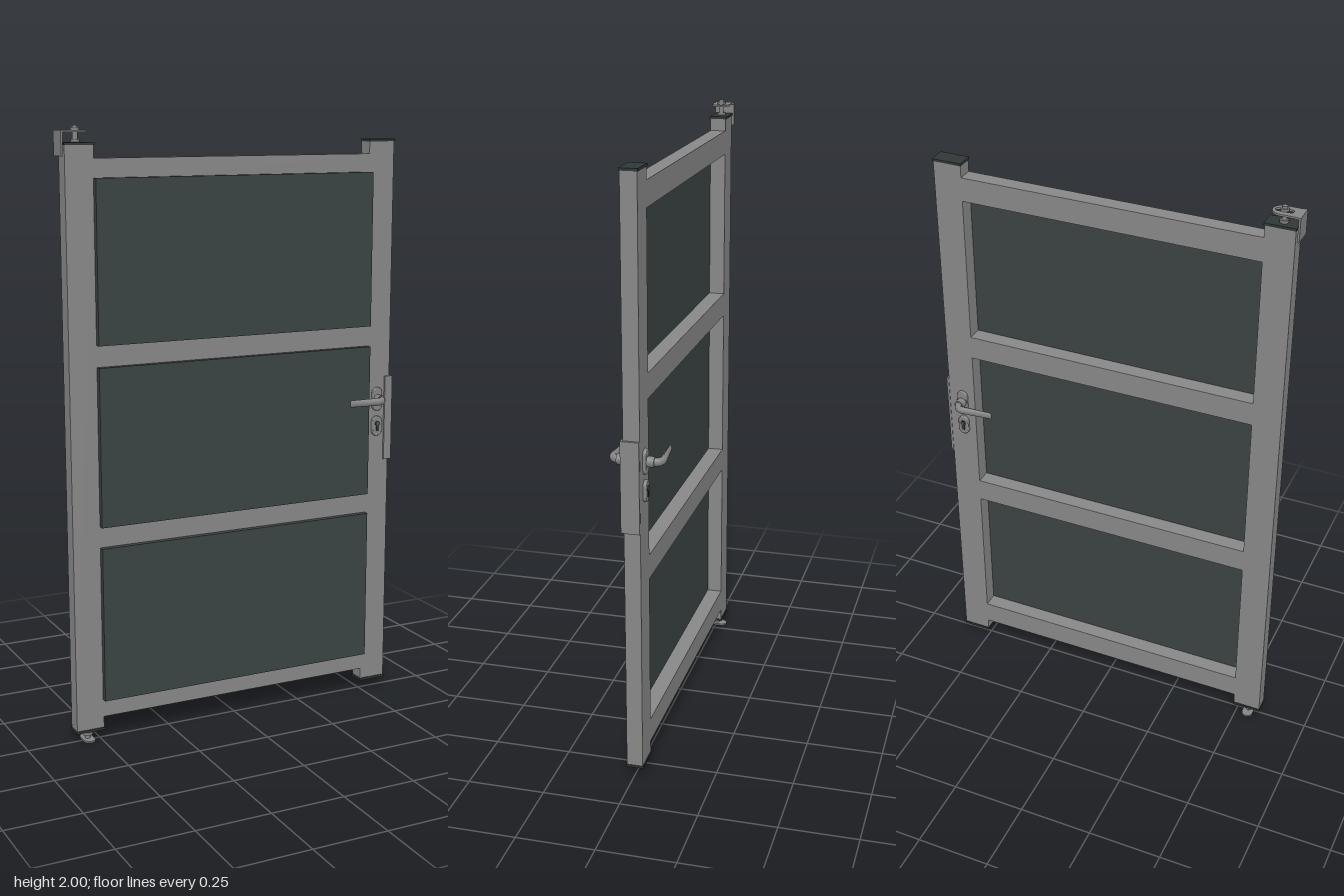
import * as THREE from 'three';

const mat = (name, color, extra = {}) => {
  const m = new THREE.MeshStandardMaterial({ color, ...extra });
  m.name = name;
  return m;
};

export function createModel() {
  const gate = new THREE.Group();
  gate.name = 'gate';
  const frameGrey = mat('frameGrey', 0x888888);
  const panelDark = mat('panelDark', 0x3b4343);
  const capDark = mat('capDark', 0x303636);
  const metal = mat('metal', 0x858585);
  const ZC = -0.003; // centre plane of the frame
  const D = 0.052; // frame depth

  const add = (name, geo, material, x = 0, y = 0, z = 0) => {
    const m = new THREE.Mesh(geo, material);
    m.name = name;
    m.position.set(x, y, z);
    gate.add(m);
    return m;
  };
  // box given by its limits
  const box = (name, material, x0, x1, y0, y1, z0, z1) =>
    add(name, new THREE.BoxGeometry(x1 - x0, y1 - y0, z1 - z0), material,
      (x0 + x1) / 2, (y0 + y1) / 2, (z0 + z1) / 2);
  const rod = (name, material, r, x, y0, y1, sides = 20) =>
    add(name, new THREE.CylinderGeometry(r, r, y1 - y0, sides), material, x, (y0 + y1) / 2, ZC);

  // upright slot outline, w wide and h high
  const slot = (w, h, Kind = THREE.Shape, cx = 0, cy = 0) => {
    const s = new Kind(), r = w / 2, d = h / 2 - r;
    s.absarc(cx, cy + d, r, 0, Math.PI);
    s.absarc(cx, cy - d, r, Math.PI, Math.PI * 2);
    s.closePath();
    return s;
  };
  const extrude = (shape, depth, bevel = 0) => new THREE.ExtrudeGeometry(shape, {
    depth: depth - bevel, curveSegments: 12, bevelEnabled: bevel > 0,
    bevelSize: bevel, bevelOffset: -bevel, bevelThickness: bevel, bevelSegments: 3,
  });

  // posts with end caps
  const zb = ZC - D / 2, zf = ZC + D / 2;
  for (const [side, x0, x1] of [['right', -0.587, -0.492], ['left', 0.495, 0.59]]) {
    box(side + 'Post', frameGrey, x0, x1, 0.042, 1.94, zb, zf);
    for (const [end, y] of [['Bottom', 0.035], ['Top', 1.94]])
      box(side + end + 'Cap', capDark, x0 - 0.002, x1 + 0.002, y, y + 0.008, zb - 0.003, zf + 0.003);
  }

  // horizontal rails
  for (const y of [0.08, 0.655, 1.245, 1.82])
    box('rail', frameGrey, -0.492, 0.495, y, y + 0.08, zb, zf);

  // infill panels on the front of the frame
  for (const y of [0.14, 0.73, 1.32])
    box('panel', panelDark, -0.494, 0.5, y, y + 0.52, zf, 0.043);

  // angled stop on the lock edge
  box('stopSide', frameGrey, 0.591, 0.599, 0.845, 1.14, zb, 0.03);
  box('stopFront', frameGrey, 0.57, 0.599, 0.845, 1.14, zf, 0.03);

  // lever handles and lock plates on both faces
  const HX = 0.54, HY = 1.062;
  for (const s of [1, -1]) {
    const side = s > 0 ? 'front' : 'back';
    const face = ZC + s * D / 2;
    const plate = (name, geo, y, material = metal) => {
      const m = add(side + name, geo, material, HX, y, face);
      if (s < 0) m.rotation.y = Math.PI;
      return m;
    };
    plate('Rose', extrude(slot(0.038, 0.082), 0.01, 0.003), HY);
    plate('LockPlate', extrude(slot(0.038, 0.07), 0.01, 0.003), 0.967);
    // lock cylinder set in the plate
    const key = new THREE.Shape();
    key.absarc(0, 0.009, 0.0095, -0.95, Math.PI + 0.95);
    key.lineTo(-0.0055, -0.017);
    key.lineTo(0.0055, -0.017);
    key.closePath();
    plate('LockCylinder', extrude(key, 0.013), 0.967, capDark);
    plate('KeySlot', extrude(slot(0.003, 0.011, THREE.Shape, 0, 0.009), 0.014), 0.967, metal);

    // neck collar
    const collar = add(side + 'Collar', new THREE.CylinderGeometry(0.017, 0.017, 0.03, 24), metal, HX, HY, face + s * 0.018);
    collar.rotation.x = Math.PI / 2;

    // tapered lever
    const P = (x, z) => new THREE.Vector3(x, 0, s * z);
    const path = new THREE.CurvePath();
    path.add(new THREE.LineCurve3(P(0, 0.03), P(0, 0.053)));
    path.add(new THREE.QuadraticBezierCurve3(P(0, 0.053), P(0, 0.079), P(-0.03, 0.078)));
    path.add(new THREE.LineCurve3(P(-0.03, 0.078), P(-0.127, 0.072)));
    const N = 32, R = 14;
    const geo = new THREE.TubeGeometry(path, N, 0.014, R);
    const pos = geo.attributes.position, c = new THREE.Vector3(), v = new THREE.Vector3();
    for (let i = 0; i <= N; i++) {
      path.getPointAt(i / N, c);
      const t = i / N, flat = t > 0.3 ? 1 - 0.6 * (t - 0.3) / 0.7 : 1;
      for (let j = 0; j <= R; j++) {
        const k = i * (R + 1) + j;
        v.fromBufferAttribute(pos, k).sub(c);
        v.y *= 1 - 0.15 * t;
        v.x *= flat * 0.85;
        v.z *= flat * 0.85;
        v.add(c);
        pos.setXYZ(k, v.x, v.y, v.z);
      }
    }
    geo.computeVertexNormals();
    add(side + 'Lever', geo, metal, HX, HY, ZC);
    const tip = add(side + 'LeverTip', new THREE.SphereGeometry(1, 14, 10), metal, HX - 0.127, HY, ZC + s * 0.072);
    tip.scale.set(0.005, 0.0119, 0.0048);
  }

  // upper hinge: slotted bracket, pin and nuts
  const PX = -0.542;
  box('hingeWallPlate', metal, -0.6, -0.594, 1.907, 1.985, ZC - 0.033, ZC + 0.033);
  const arm = new THREE.Shape();
  arm.moveTo(-0.6, -0.033);
  arm.lineTo(-0.58, -0.03);
  arm.lineTo(-0.535, -0.03);
  arm.absarc(-0.535, 0, 0.03, -Math.PI / 2, Math.PI / 2);
  arm.lineTo(-0.58, 0.03);
  arm.lineTo(-0.6, 0.033);
  arm.closePath();
  const hole = new THREE.Path();
  hole.absarc(-0.523, 0, 0.01, -Math.PI / 2, Math.PI / 2);
  hole.absarc(-0.56, 0, 0.01, Math.PI / 2, Math.PI * 1.5);
  hole.closePath();
  arm.holes.push(hole);
  const armMesh = add('hingeArm', extrude(arm, 0.006), metal, 0, 1.985, ZC);
  armMesh.rotation.x = Math.PI / 2;
  rod('hingePin', metal, 0.008, PX, 1.945, 2.0);
  rod('hingeNut', metal, 0.014, PX, 1.985, 1.993, 6);
  rod('hingeLowerNut', metal, 0.014, PX, 1.948, 1.957, 6);

  // lower pivot: pin, nut and oblong foot
  rod('pivotPin', metal, 0.009, PX, 0.004, 0.036);
  rod('pivotNut', metal, 0.019, PX, 0.018, 0.028, 6);
  const foot = add('pivotFoot', extrude(slot(0.038, 0.074), 0.006), metal, PX, 0.006, ZC);
  foot.rotation.x = Math.PI / 2;

  return gate;
}
